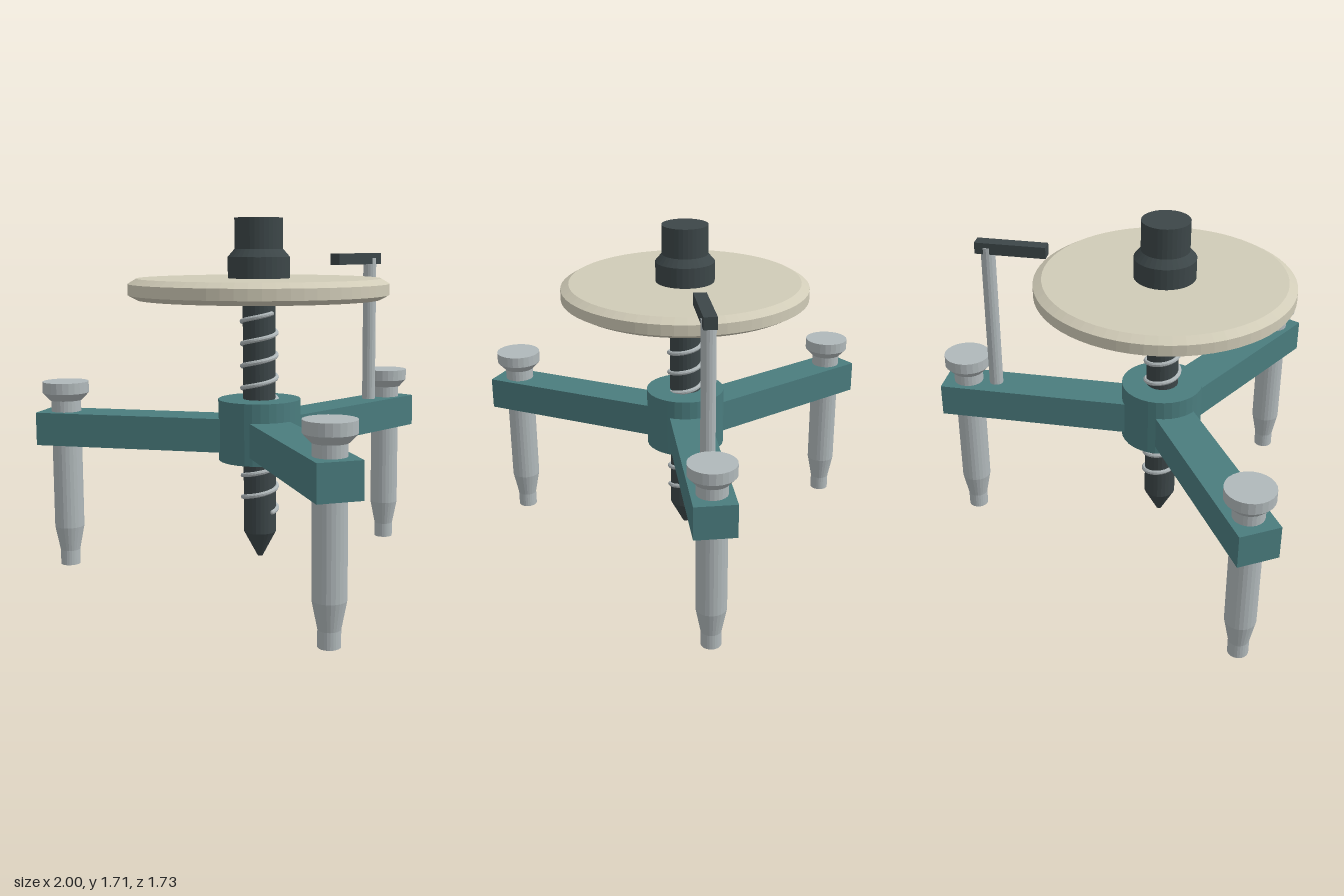
import * as THREE from 'three';

const mat = (name, color, flatShading = true) => {
  const m = new THREE.MeshStandardMaterial({ color, flatShading });
  m.name = name;
  return m;
};

// Helix that rises from +x round the back
class Helix extends THREE.Curve {
  constructor(radius, y0, y1, turns) {
    super();
    Object.assign(this, { radius, y0, y1, turns });
  }
  getPoint(t, target = new THREE.Vector3()) {
    const a = t * this.turns * Math.PI * 2;
    return target.set(Math.cos(a) * this.radius, this.y0 + (this.y1 - this.y0) * t, -Math.sin(a) * this.radius);
  }
}

export function createModel() {
  const model = new THREE.Group();
  model.name = 'spherometer';

  const teal = mat('teal paint', 0x4a7c7e);
  const steel = mat('steel', 0xb0b8ba);
  const dark = mat('dark metal', 0x3c4648);
  const ivory = mat('ivory dial', 0xd0cbb7);

  const add = (parent, name, geometry, material, x = 0, y = 0, z = 0) => {
    const mesh = new THREE.Mesh(geometry, material);
    mesh.name = name;
    mesh.position.set(x, y, z);
    parent.add(mesh);
    return mesh;
  };
  // Closed turned part; profile runs from bottom to top as [radius, y]
  const turned = (profile, sides) =>
    new THREE.LatheGeometry(profile.map(([r, y]) => new THREE.Vector2(r, y)), sides);

  // Everything is arranged around the central screw
  const body = new THREE.Group();
  body.name = 'body';
  body.position.z = 0.232;
  model.add(body);

  add(body, 'hub', new THREE.CylinderGeometry(0.195, 0.195, 0.29, 32), teal, 0, 0.72, 0);

  // Three arms, each with a levelling leg
  for (let i = 0; i < 3; i++) {
    const arm = new THREE.Group();
    arm.name = ['backArm', 'rightArm', 'leftArm'][i];
    arm.rotation.y = (i * Math.PI * 2) / 3;
    body.add(arm);
    add(arm, 'beam', new THREE.BoxGeometry(0.195, 0.16, 0.997), teal, 0, 0.695, -0.5985);
    add(arm, 'leg', turned([
      [0, 0], [0.048, 0], [0.048, 0.073], [0.072, 0.195], [0.072, 0.83],
      [0.078, 0.83], [0.112, 0.867], [0.112, 0.921], [0, 0.921],
    ], 24), steel, 0, 0, -0.98);
  }

  // Central screw with pointed tip and raised thread
  add(body, 'screw', turned([
    [0, 0.1], [0.012, 0.1], [0.077, 0.222], [0.077, 1.36], [0, 1.36],
  ], 24), dark);
  const wire = 0.011;
  const helix = new Helix(0.081, 0.325, 1.27, 9);
  add(body, 'thread', new THREE.TubeGeometry(helix, 270, wire, 8), steel);
  for (const t of [0, 1]) {
    const p = helix.getPoint(t);
    add(body, 'threadEnd', new THREE.SphereGeometry(wire, 8, 6), steel, p.x, p.y, p.z);
  }

  // Bevelled dial disc and its stepped knob
  add(body, 'dial', turned([
    [0, 1.335], [0.567, 1.335], [0.607, 1.357], [0.607, 1.408], [0.567, 1.432], [0, 1.432],
  ], 64), ivory);
  add(body, 'knob', turned([
    [0, 1.42], [0.145, 1.42], [0.145, 1.53], [0.113, 1.567], [0.113, 1.71], [0, 1.71],
  ], 32), dark);

  // Pointer post and index bar above the back arm
  add(model, 'pointerPost', new THREE.CylinderGeometry(0.034, 0.034, 0.766, 16), steel, 0, 1.133, -0.605);
  add(model, 'pointerBar', new THREE.BoxGeometry(0.06, 0.056, 0.34), dark, 0, 1.512, -0.491);

  return model;
}
